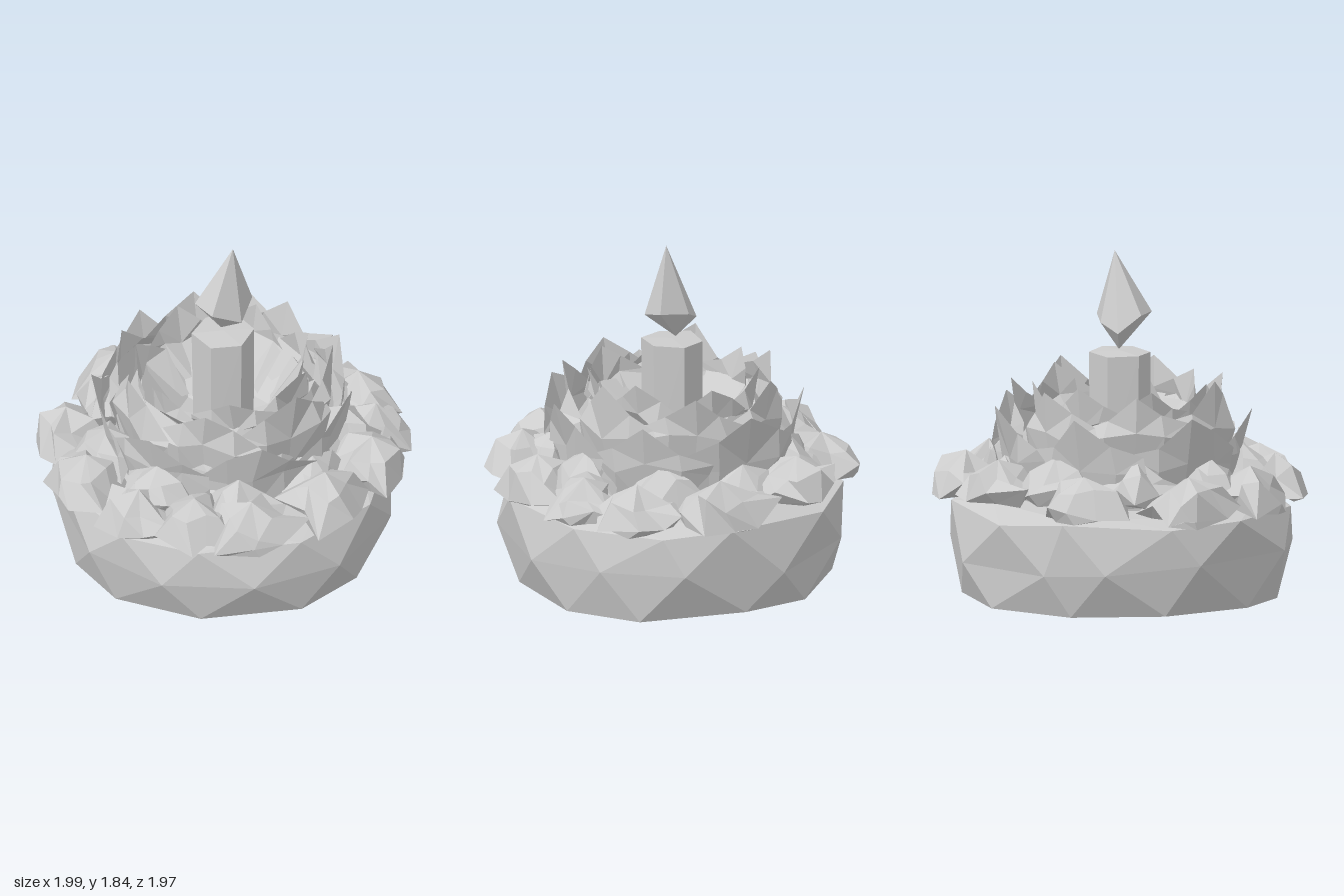
import * as THREE from 'three';

const frosting = new THREE.MeshStandardMaterial({ color: 0xcccccc, side: THREE.DoubleSide });
frosting.name = 'plain grey';

// Small seeded random: returns -1..1
let seed = 7;
const rnd = () => {
  seed = (seed * 16807) % 2147483647;
  return (seed / 2147483647) * 2 - 1;
};

// Point at angle a (0 = front, rising toward +x)
const polar = (r, a, y) => new THREE.Vector3(r * Math.sin(a), y, r * Math.cos(a));

// Unshared corners give hard facets
function facetMesh(name, points) {
  const g = new THREE.BufferGeometry().setFromPoints(points);
  g.computeVertexNormals();
  const m = new THREE.Mesh(g, frosting);
  m.name = name;
  return m;
}

// Two triangles with the diagonal running either way
function quad(out, a, b, c, d, flip) {
  if (flip) out.push(a, b, d, b, c, d);
  else out.push(a, b, c, a, c, d);
}

// Closed solid through rings of points, ending in a point below and above
function loft(name, rings, bottom, top) {
  const out = [];
  const n = rings[0].length;
  const last = rings[rings.length - 1];
  for (let i = 0; i < n; i++) {
    const j = (i + 1) % n;
    out.push(bottom, rings[0][j], rings[0][i]);
    for (let k = 0; k + 1 < rings.length; k++)
      quad(out, rings[k][i], rings[k][j], rings[k + 1][j], rings[k + 1][i], k % 2);
    out.push(top, last[i], last[j]);
  }
  return facetMesh(name, out);
}

// Uneven ring of n points
function ring(n, r, y, jr = 0, jy = 0, turn = 0, ja = 0) {
  return Array.from({ length: n }, (_, i) =>
    polar(r + rnd() * jr, ((i + turn + rnd() * ja) / n) * Math.PI * 2, y + rnd() * jy));
}

// Broad pointed petal; one edge tucks under its neighbour
function petal(name, angle, half, [rLow, yLow], [rMid, yMid], [rTip, yTip]) {
  const rise = [0.1, 0.5, 1, 0.55, 0.15];
  const tipJitter = rnd() * 0.03;
  const cols = rise.map((h, i) => {
    const u = i / 2 - 1;
    const a = angle + u * half;
    const tuck = 0.03 * u - (i % 2 ? 0 : 0.02);
    const yTop = yMid + (yTip + tipJitter - yMid) * (h + (i === 2 ? 0 : rnd() * 0.15));
    return [
      polar(rLow + tuck, a, yLow),
      polar(rMid + tuck + rnd() * 0.025, a + rnd() * 0.04, yMid + rnd() * 0.04),
      polar(rTip + (i === 2 ? 0.01 : tuck - 0.02), a + rnd() * 0.04, yTop),
    ];
  });
  const out = [];
  for (let i = 0; i < 4; i++)
    for (let k = 0; k < 2; k++)
      quad(out, cols[i][k], cols[i + 1][k], cols[i + 1][k + 1], cols[i][k + 1], i < 2);
  return facetMesh(name, out);
}

// Ruffled clump: low star-edged crystal, wider around the cake than across
function ruffle(angle, r, size, lift) {
  const n = 9;
  const c = polar(r, angle, 0.62 + lift);
  const loop = (s, y, zig, jy) => Array.from({ length: n }, (_, i) => {
    const a = ((i + 0.3 * rnd()) / n) * Math.PI * 2;
    const reach = size * s * (1 + (i % 2 ? -zig : zig) + rnd() * 0.08);
    const out = Math.cos(a) * reach;
    const along = Math.sin(a) * reach * 1.18;
    // turn into place, kept within the rim and drooping over it
    const p = new THREE.Vector3(along, 0, r + out);
    if (p.length() > 0.995) p.setLength(0.995);
    p.applyAxisAngle(THREE.Object3D.DEFAULT_UP, angle);
    return p.setY(c.y + y + rnd() * jy - Math.max(0, out) * 0.12);
  });
  return loft('ruffle', [loop(0.75, -0.03, 0.1, 0.02), loop(1, 0.01, 0.15, 0.06), loop(0.58, 0.1, 0.2, 0.045)],
    c.clone().setY(c.y - 0.03), c.clone().setY(c.y + 0.18));
}

export function createModel() {
  seed = 7;
  const model = new THREE.Group();
  model.name = 'candleCake';

  // Rough drum base
  model.add(loft('base', [
    ring(11, 0.5, 0.025, 0.06, 0.015, 0.3),
    ring(11, 0.855, 0.03, 0.02, 0.02, 0.3, 0.15),
    ring(11, 0.915, 0.27, 0.012, 0.04, 0.8, 0.2),
    ring(11, 0.895, 0.51, 0.015, 0.02, 0.3, 0.15),
    ring(11, 0.75, 0.55, 0.03, 0.01, 0.8),
  ], new THREE.Vector3(0, 0.035, 0), new THREE.Vector3(0, 0.57, 0)));

  // Ring of ruffles, as [x, z, size]
  const ruffles = new THREE.Group();
  ruffles.name = 'ruffleRing';
  [
    [-0.26, -0.77, 0.24], [0.18, -0.79, 0.21], [0.46, -0.67, 0.2], [0.71, -0.42, 0.21],
    [0.79, -0.02, 0.21], [0.7, 0.42, 0.22], [0.47, 0.62, 0.19], [0.22, 0.79, 0.2],
    [-0.2, 0.79, 0.21], [-0.6, 0.58, 0.22], [-0.79, 0.06, 0.22], [-0.66, -0.46, 0.21],
  ].forEach(([x, z, size]) => {
    ruffles.add(ruffle(Math.atan2(x, z), Math.hypot(x, z), size, rnd() * 0.03));
  });
  // Inner ruffles fill the gaps under the crown
  for (let i = 0; i < 9; i++)
    ruffles.add(ruffle(((i + 0.4) / 9) * Math.PI * 2, 0.64, 0.18, 0.02 + rnd() * 0.03));
  model.add(ruffles);

  // Core under the petals, hollowed like a funnel around the candle
  model.add(loft('core', [
    ring(9, 0.58, 0.54), ring(9, 0.56, 0.78, 0.02, 0.02), ring(9, 0.45, 0.98, 0.02, 0.03, 0.5),
    ring(9, 0.24, 0.8, 0.03, 0.03),
  ], new THREE.Vector3(0, 0.54, 0), new THREE.Vector3(0, 0.75, 0)));

  // Crown of petals in three overlapping rings
  const crown = new THREE.Group();
  crown.name = 'petalCrown';
  [
    ['outerPetal', 7, 0.25, 0.54, [0.62, 0.58], [0.66, 0.8], [0.69, 1.04]],
    ['middlePetal', 7, 0.75, 0.54, [0.54, 0.7], [0.59, 0.94], [0.57, 1.18]],
    ['innerPetal', 7, 0.05, 0.54, [0.28, 0.8], [0.45, 1.0], [0.46, 1.18]],
  ].forEach(([name, n, turn, half, low, mid, tip]) => {
    for (let i = 0; i < n; i++)
      crown.add(petal(name, ((i + turn) / n) * Math.PI * 2, half, low, mid, tip));
  });
  model.add(crown);

  // Candle
  model.add(loft('candle', [
    ring(6, 0.16, 0.7, 0, 0, 0.4), ring(6, 0.165, 1.315, 0.005, 0.008, 0.4),
  ], new THREE.Vector3(0, 0.7, 0), new THREE.Vector3(0, 1.32, 0)));

  // Flame
  const waist = [
    [-0.07, 1.525, 0.14], [0.08, 1.525, 0.15], [0.145, 1.45, 0],
    [0.06, 1.5, -0.15], [-0.09, 1.48, -0.08], [-0.13, 1.43, 0.03],
  ].map((p) => new THREE.Vector3(...p));
  model.add(loft('flame', [waist], new THREE.Vector3(-0.02, 1.33, 0), new THREE.Vector3(0.03, 1.85, -0.04)));

  return model;
}
